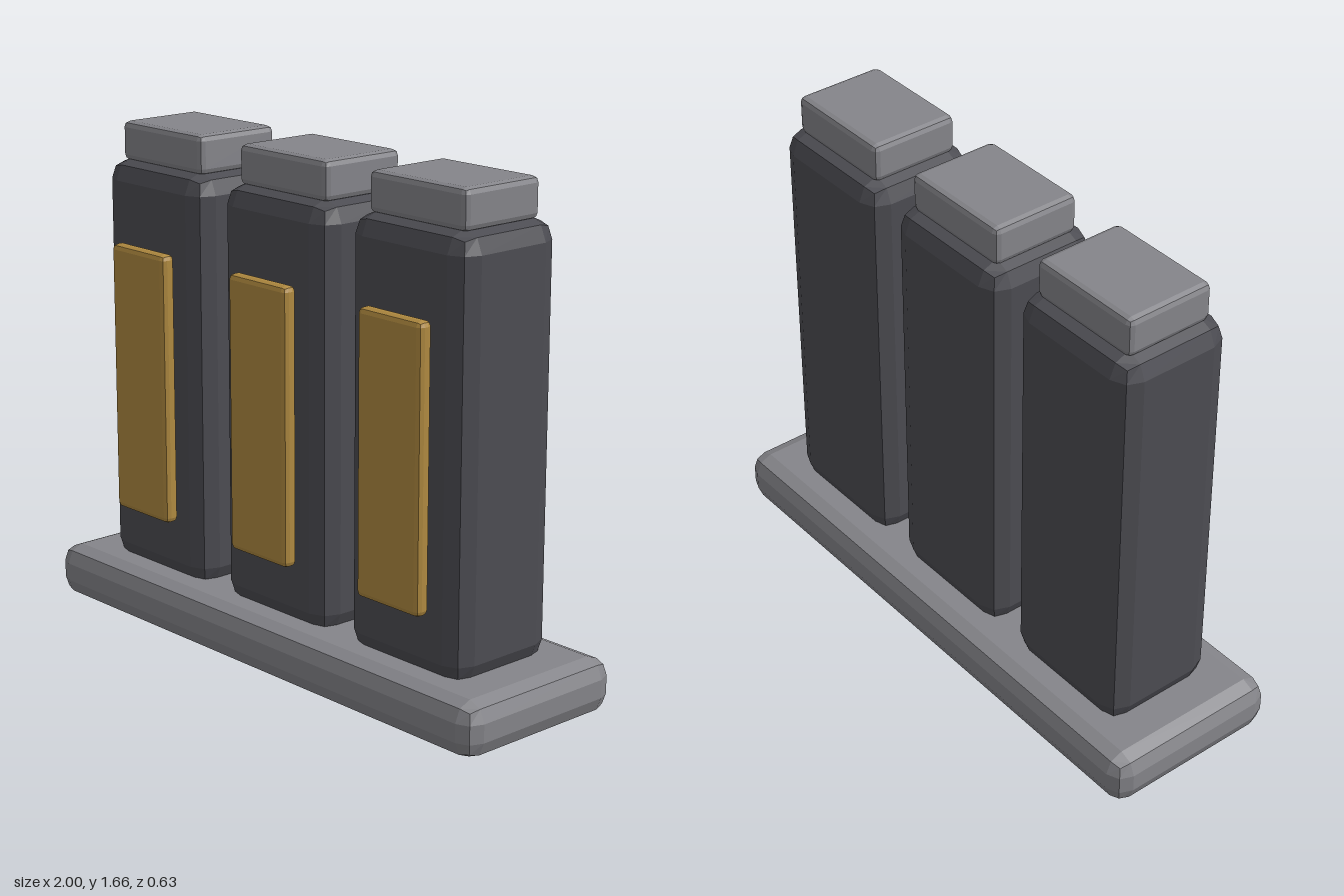
import * as THREE from 'three';
import { RoundedBoxGeometry } from 'three/addons/geometries/RoundedBoxGeometry.js';

const material = (color) => new THREE.MeshStandardMaterial({ color, flatShading: true });

// Box with faceted, rounded edges, placed by its bottom height
function roundedBlock(name, [w, h, d], radius, [x, bottom, z], mat) {
  const mesh = new THREE.Mesh(new RoundedBoxGeometry(w, h, d, 1, radius), mat);
  mesh.name = name;
  mesh.position.set(x, bottom + h / 2, z);
  return mesh;
}

export function createModel() {
  const model = new THREE.Group();
  model.name = 'canisterRack';
  const grey = material(0x85858a);
  const dark = material(0x4c4c52);
  const gold = material(0xb08a40);

  // Base plate
  model.add(roundedBlock('base', [2, 0.18, 0.63], 0.06, [0, 0, 0], grey));

  // Three canisters, each with a cap and a raised front label
  for (const x of [-0.59, 0, 0.59]) {
    const canister = new THREE.Group();
    canister.name = 'canister';
    canister.position.x = x;
    canister.add(
      roundedBlock('body', [0.495, 1.39, 0.405], 0.07, [0, 0.15, 0], dark),
      roundedBlock('cap', [0.405, 0.13, 0.31], 0.02, [0, 1.53, 0], grey),
      roundedBlock('frontLabel', [0.27, 0.905, 0.05], 0.018, [0, 0.37, 0.238], gold),
    );
    model.add(canister);
  }
  return model;
}
